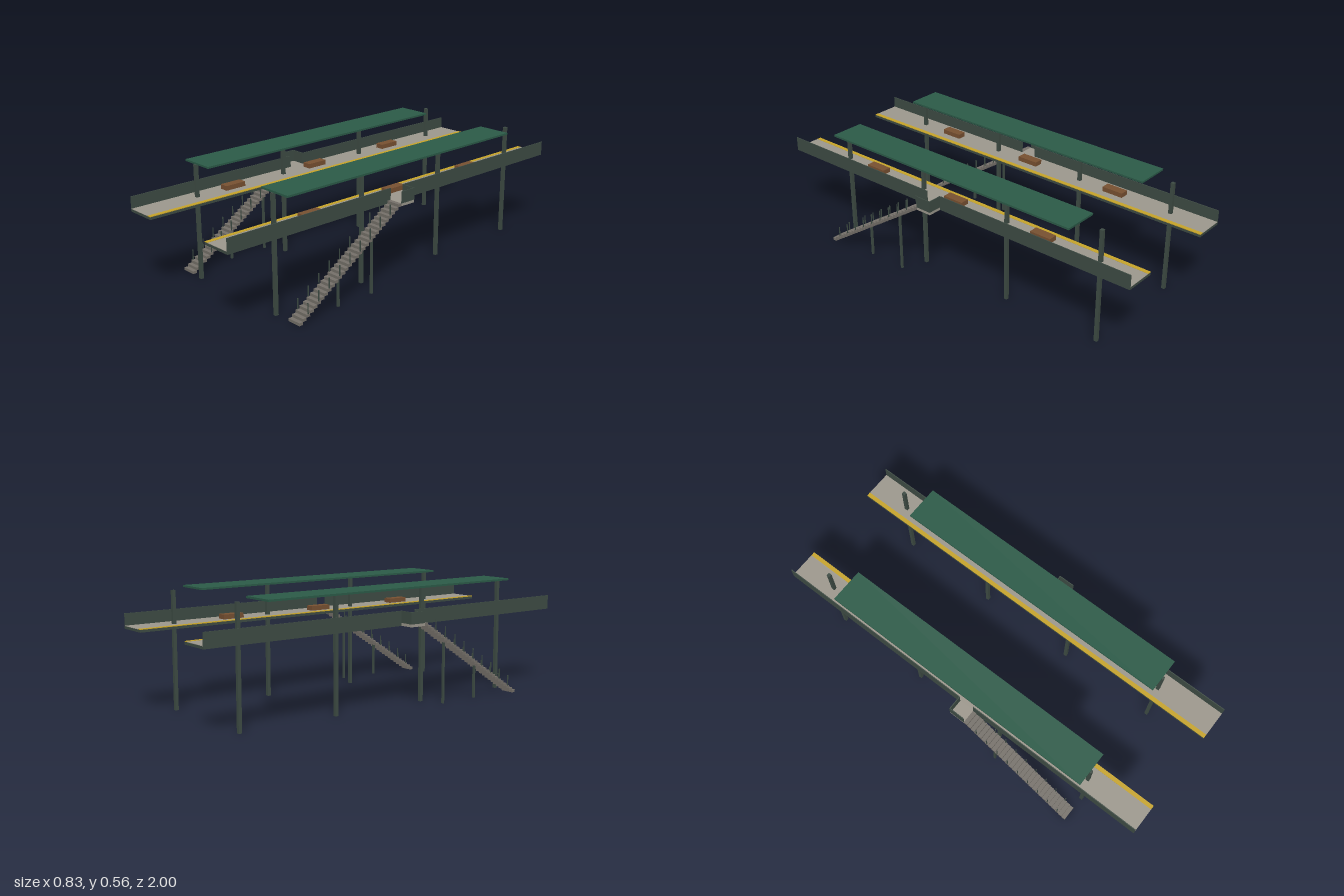
import * as THREE from 'three';

const mat = (name, color) => {
  const m = new THREE.MeshStandardMaterial({ color });
  m.name = name;
  return m;
};

export function createModel() {
  const frame = mat('dark green steel', 0x3f4d45);
  const concrete = mat('concrete', 0x9f9a8f);
  const stairGrey = mat('stair grey', 0x77726b);
  const roofGreen = mat('canopy green', 0x2c5c49);
  const yellow = mat('safety yellow', 0xc9a62a);
  const wood = mat('bench wood', 0x7a5232);

  const model = new THREE.Group();
  model.name = 'elevatedStation';

  // box given by its min/max range on each axis
  const box = (parent, name, material, [x0, x1], [y0, y1], [z0, z1]) => {
    const g = new THREE.BoxGeometry(Math.abs(x1 - x0), y1 - y0, z1 - z0);
    const m = new THREE.Mesh(g, material);
    m.position.set((x0 + x1) / 2, (y0 + y1) / 2, (z0 + z1) / 2);
    m.name = name;
    parent.add(m);
  };
  const around = (c, size) => [c - size / 2, c + size / 2];

  const deckY = 0.396, wallTop = 0.451;
  const steps = 30, stairTop = 0.1, stairEnd = 0.7;
  const run = (stairEnd - stairTop) / steps, rise = deckY / steps;

  for (const s of [1, -1]) {
    const side = new THREE.Group();
    side.name = s > 0 ? 'leftPlatform' : 'rightPlatform';
    model.add(side);
    const X = (a, b) => [s * a, s * b];

    // deck with concrete surface and yellow edge on the track side
    box(side, 'deckSlab', frame, X(0.196, 0.344), [0.382, 0.394], [-1, 1]);
    box(side, 'deckSurface', concrete, X(0.216, 0.344), [0.394, deckY], [-1, 1]);
    box(side, 'safetyStrip', yellow, X(0.196, 0.216), [0.394, deckY + 0.001], [-1, 1]);

    // outer parapet, open at the stair landing
    for (const z of [[-1, 0.02], [stairTop, 1]])
      box(side, 'parapet', frame, X(0.342, 0.346), [0.382, wallTop], z);

    // columns and benches share one line, the same way offset on both platforms
    const cx = s * 0.27 - 0.008;
    for (const z of [0.7, 0.2, -0.3, -0.8])
      box(side, 'column', frame, around(cx, 0.016), [0, 0.548], around(z, 0.016));
    for (const z of [0.5, 0, -0.5])
      box(side, 'bench', wood, around(cx, 0.043), [deckY, 0.418], around(z, 0.107));

    box(side, 'canopy', roofGreen, X(0.186, 0.355), [0.547, 0.556], [-0.7, 0.7]);

    // landing with back and outer walls
    box(side, 'landing', concrete, X(0.344, 0.414), [0.383, deckY], [0.02, stairTop]);
    box(side, 'landingBackWall', frame, X(0.344, 0.414), [deckY, wallTop], [0.02, 0.024]);
    box(side, 'landingOuterWall', frame, X(0.411, 0.415), [deckY, wallTop], [0.02, stairTop]);

    // stair flight with railing posts on every third step
    const stairs = new THREE.Group();
    stairs.name = 'stairs';
    side.add(stairs);
    for (let i = 0; i < steps; i++) {
      const z = stairEnd - run * (i + 0.5), y = rise * (i + 1);
      box(stairs, 'step', stairGrey, X(0.344, 0.414), [y - rise, y], around(z, run));
      if (i % 3 === 2 && i < steps - 2)
        for (const x of [0.346, 0.412])
          box(stairs, 'railingPost', frame, around(s * x, 0.004), [y, y + 0.05], around(z, 0.004));
    }
    for (const z of [0.45, 0.25]) {
      const top = (stairEnd - z) / (stairEnd - stairTop) * deckY - 0.008;
      box(stairs, 'stairLeg', frame, around(s * 0.379, 0.01), [0, top], around(z, 0.01));
    }
  }
  return model;
}
